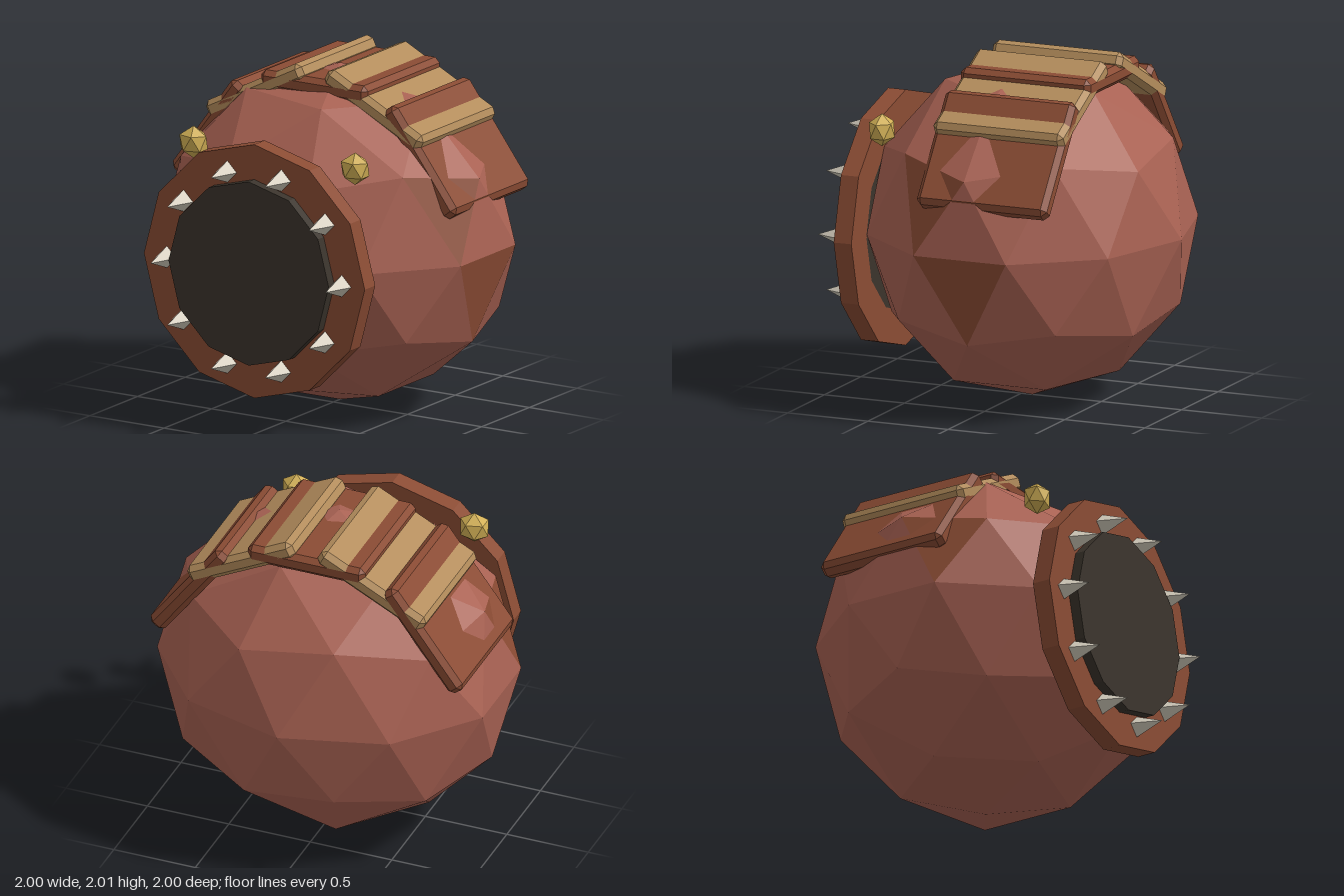
import * as THREE from 'three';
import { ConvexGeometry } from 'three/addons/geometries/ConvexGeometry.js';

function material(name, color) {
  const m = new THREE.MeshStandardMaterial({ color, flatShading: true });
  m.name = name;
  return m;
}

// Icosphere with one vertex straight up and an upper ring vertex towards +x
function poleUpSphere(detail) {
  const g = new THREE.IcosahedronGeometry(1, detail);
  g.rotateX(-Math.atan((1 + Math.sqrt(5)) / 2));
  g.rotateY(Math.PI / 2);
  return g;
}

// Box with every edge cut by a flat chamfer
function chamferBox(w, h, d, c) {
  const points = [];
  for (const x of [-1, 1]) for (const y of [-1, 1]) for (const z of [-1, 1]) {
    const a = x * w / 2, b = y * h / 2, e = z * d / 2;
    points.push(
      new THREE.Vector3(a, b - y * c, e - z * c),
      new THREE.Vector3(a - x * c, b, e - z * c),
      new THREE.Vector3(a - x * c, b - y * c, e)
    );
  }
  return new ConvexGeometry(points);
}

export function createModel() {
  const skin = material('dusty red skin', 0xa96253);
  const brown = material('brown shell', 0x8b4c34);
  const tan = material('tan plate', 0xb48d5c);
  const dark = material('dark mouth', 0x3b342c);
  const bone = material('pale tooth', 0xd3ccbc);
  const gold = material('gold eye', 0xd2b055);

  const model = new THREE.Group();
  model.name = 'roundCreature';
  const add = (name, geometry, mat, x, y, z) => {
    const mesh = new THREE.Mesh(geometry, mat);
    mesh.name = name;
    mesh.position.set(x, y, z);
    model.add(mesh);
    return mesh;
  };

  // Faceted body with three brown patches
  const bodyGeometry = poleUpSphere(1);
  const patches = [[0.918, -0.175, 0], [0.844, 0.324, 0.27], [-0.842, 0.324, 0.278]]
    .map(p => new THREE.Vector3(...p));
  const pos = bodyGeometry.attributes.position;
  const centre = new THREE.Vector3(), corner = new THREE.Vector3();
  bodyGeometry.clearGroups();
  for (let i = 0; i < pos.count; i += 3) {
    centre.set(0, 0, 0);
    for (let k = 0; k < 3; k++) centre.add(corner.fromBufferAttribute(pos, i + k));
    centre.divideScalar(3);
    bodyGeometry.addGroup(i, 3, patches.some(p => p.distanceTo(centre) < 0.1) ? 1 : 0);
  }
  bodyGeometry.scale(1.05, 0.99, 0.93);
  add('body', bodyGeometry, [skin, brown], 0, 0.995, -0.07);

  // Mouth: a twelve-sided lip with a dark opening in front
  const disc = (r, depth) => new THREE.CylinderGeometry(r, r, depth, 12).rotateX(Math.PI / 2);
  const mouthY = 0.96;
  add('mouthLip', disc(0.745, 0.11), brown, 0, mouthY, 0.775);
  add('mouthOpening', disc(0.54, 0.17), dark, 0, mouthY, 0.805);

  // Ring of pointed teeth
  const toothGeometry = new THREE.ConeGeometry(0.064, 0.17, 4).rotateX(Math.PI / 2);
  for (let i = 0; i < 10; i++) {
    const a = i * Math.PI / 5;
    add('tooth', toothGeometry, bone, 0.59 * Math.cos(a), mouthY + 0.59 * Math.sin(a), 0.915);
  }

  // Back armour: five overlapping plates in an arc
  const plateGeometry = chamferBox(0.72, 0.11, 0.81, 0.03);
  add('topPlate', plateGeometry, brown, 0, 1.9, -0.18);
  for (const s of [-1, 1]) {
    add('upperSidePlate', plateGeometry, tan, s * 0.4, 1.82, -0.18).rotation.z = -s * 0.47;
    add('lowerSidePlate', plateGeometry, brown, s * 0.715, 1.56, -0.18).rotation.z = -s * 0.93;
  }

  // Eyes
  const eyeGeometry = poleUpSphere(0).scale(0.095, 0.095, 0.08);
  for (const s of [-1, 1]) add('eye', eyeGeometry, gold, s * 0.545, 1.595, 0.62);

  return model;
}
